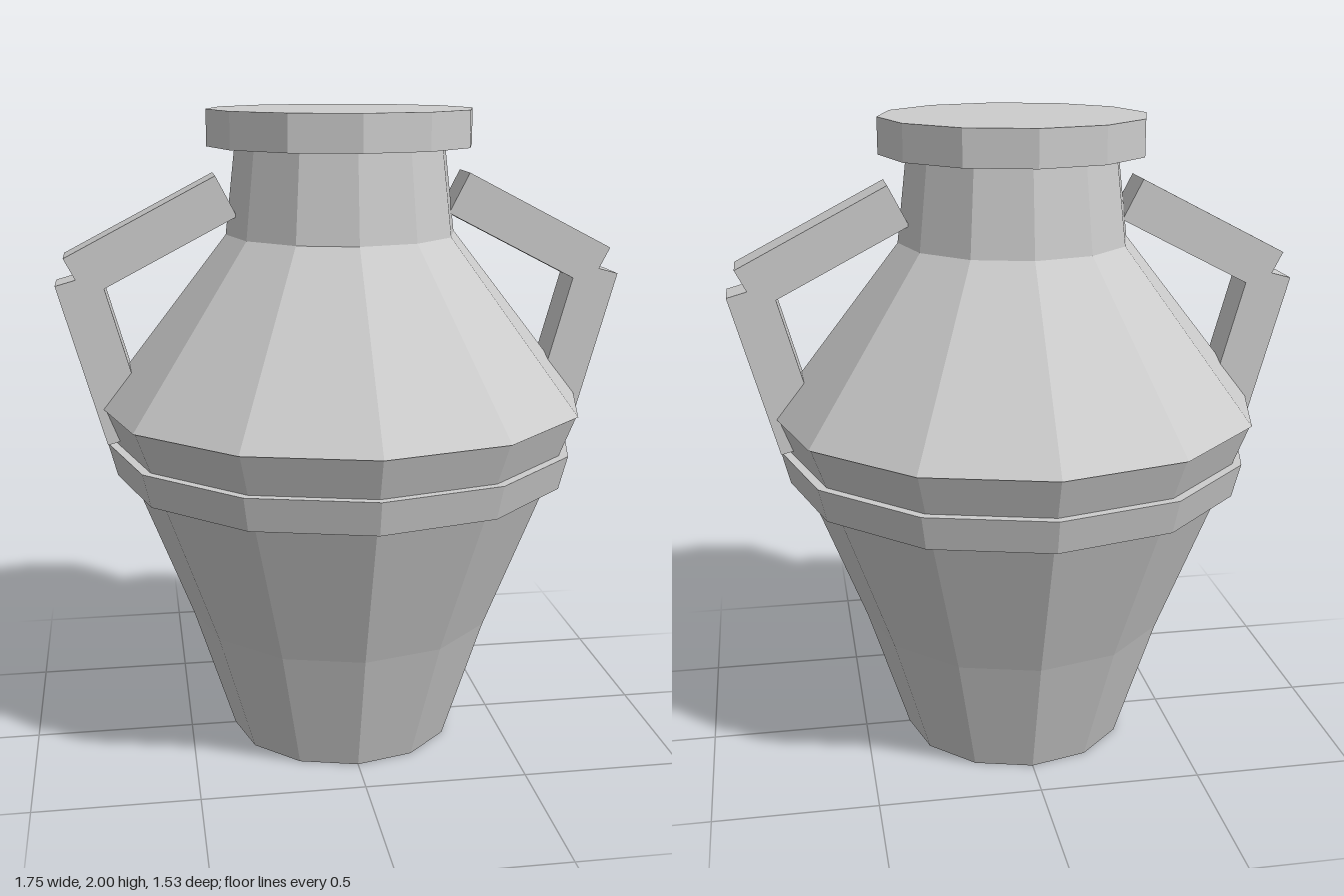
import * as THREE from 'three';

const SIDES = 12;

export function createModel() {
  const group = new THREE.Group();
  group.name = 'amphora';

  const clay = new THREE.MeshStandardMaterial({ color: 0xcccccc, flatShading: true });
  clay.name = 'pale grey clay';

  // Tapered twelve-sided section between two heights
  const addSection = (name, y0, r0, y1, r1) => {
    const mesh = new THREE.Mesh(new THREE.CylinderGeometry(r1, r0, y1 - y0, SIDES), clay);
    mesh.name = name;
    mesh.position.y = (y0 + y1) / 2;
    group.add(mesh);
  };

  // Vessel, from foot to lip
  addSection('foot', 0, 0.355, 0.4, 0.483);
  addSection('belly', 0.4, 0.483, 1.105, 0.757);
  addSection('bellyBand', 0.875, 0.71, 0.98, 0.737);
  addSection('shoulder', 1.105, 0.763, 1.625, 0.356);
  addSection('neck', 1.625, 0.356, 1.89, 0.325);
  addSection('lip', 1.89, 0.409, 2, 0.409);

  // Handles: two overlapping square bars, mirrored on each side
  const bar = new THREE.BoxGeometry(0.515, 0.137, 0.137);
  for (const side of [1, -1]) {
    const handle = new THREE.Group();
    handle.name = side > 0 ? 'leftHandle' : 'rightHandle';
    const addBar = (name, x, y, degrees) => {
      const mesh = new THREE.Mesh(bar, clay);
      mesh.name = name;
      mesh.position.set(side * x, y, 0);
      mesh.rotation.z = side * THREE.MathUtils.degToRad(degrees);
      handle.add(mesh);
    };
    addBar('upperBar', 0.586, 1.628, -27.5);
    addBar('lowerBar', 0.739, 1.258, 74.5);
    group.add(handle);
  }

  return group;
}
